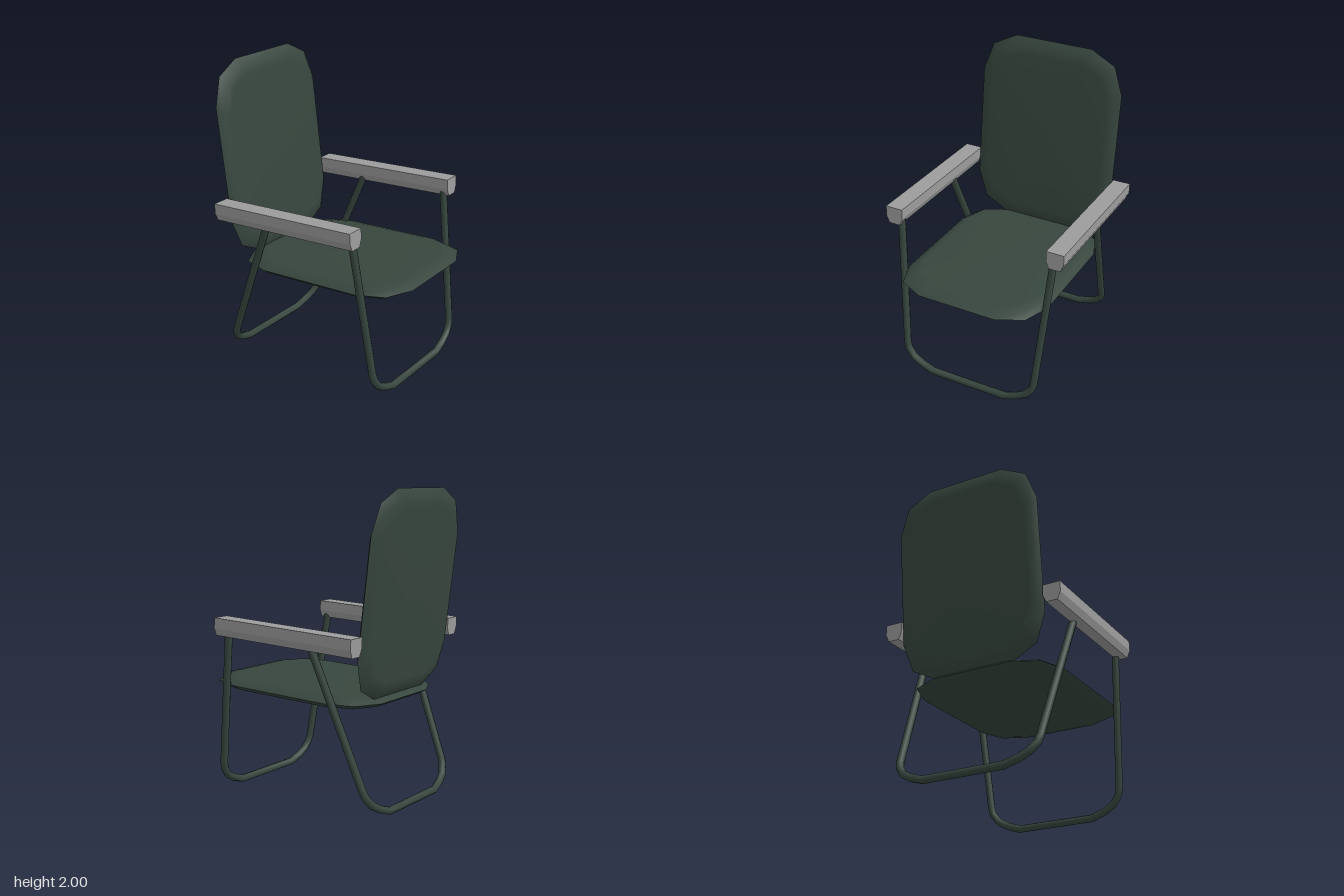
import * as THREE from 'three';

const fabric = new THREE.MeshStandardMaterial({ color: 0x37463e });
fabric.name = 'dark green';
const plastic = new THREE.MeshStandardMaterial({ color: 0x9c9c9c });
plastic.name = 'arm grey';

// Lens-shaped cushion in the XY plane: chamfered outline, domed on both sides, sharp rim
function cushionGeometry(halfLength) {
  const L = halfLength;
  const quarter = [[0.507, L - 0.27], [0.44, L - 0.085], [0.27, L]];
  const back = [...quarter].reverse();
  const outline = [
    ...quarter,
    ...back.map(([x, y]) => [-x, y]),
    ...quarter.map(([x, y]) => [-x, -y]),
    ...back.map(([x, y]) => [x, -y]),
  ];
  const n = outline.length;
  const rings = [[1, 0], [0.93, 0.028], [0.83, 0.043]]; // scale, height
  const positions = [], index = [];
  for (const side of [1, -1]) {
    const base = positions.length / 3;
    const tri = (a, b, c) => index.push(base + a, base + (side > 0 ? b : c), base + (side > 0 ? c : b));
    for (const [s, h] of rings) {
      for (const [x, y] of outline) positions.push(x * s, y * s, h * side);
    }
    const centre = rings.length * n;
    positions.push(0, 0, 0.047 * side);
    for (let i = 0; i < n; i++) {
      const j = (i + 1) % n;
      for (let r = 0; r < rings.length - 1; r++) {
        const a = r * n, b = a + n;
        tri(a + i, a + j, b + j);
        tri(a + i, b + j, b + i);
      }
      const a = (rings.length - 1) * n;
      tri(a + i, a + j, centre);
    }
  }
  const g = new THREE.BufferGeometry();
  g.setAttribute('position', new THREE.Float32BufferAttribute(positions, 3));
  g.setIndex(index);
  g.computeVertexNormals();
  return g;
}

// Straight-segment path with mitred corners, one tube ring per point
class BentPath extends THREE.Curve {
  constructor(points) {
    super();
    this.points = points;
  }
  getUtoTmapping(u) {
    return u;
  }
  getPoint(t, target = new THREE.Vector3()) {
    const f = t * (this.points.length - 1);
    const i = Math.min(Math.floor(f + 1e-6), this.points.length - 2);
    return target.lerpVectors(this.points[i], this.points[i + 1], f - i);
  }
  getTangent(t, target = new THREE.Vector3()) {
    const p = this.points, last = p.length - 1, i = Math.round(t * last);
    target.set(0, 0, 0);
    if (i > 0) target.add(p[i].clone().sub(p[i - 1]).normalize());
    if (i < last) target.add(p[i + 1].clone().sub(p[i]).normalize());
    return target.normalize();
  }
}

// U-shaped leg frame lying in a plane leaning from zTop to zFoot
function legFrame(name, yTop, zTop, zFoot) {
  const foot = 0.024;
  const half = [[0.54, yTop], [0.476, 0.19], [0.465, 0.145], [0.425, 0.092], [0.36, 0.055], [0.27, foot]];
  const all = [...half, ...[...half].reverse().map(([x, y]) => [-x, y])];
  const points = all.map(([x, y]) =>
    new THREE.Vector3(x, y, THREE.MathUtils.mapLinear(y, foot, yTop, zFoot, zTop)));
  const g = new THREE.TubeGeometry(new BentPath(points), points.length - 1, 0.025, 8, false);
  const mesh = new THREE.Mesh(g, fabric);
  mesh.name = name;
  return mesh;
}

// Armrest: bar with its lower edges chamfered
function armGeometry() {
  const length = 1.055;
  const section = new THREE.Shape([
    [-0.059, 0.058], [-0.059, -0.01], [-0.038, -0.058],
    [0.038, -0.058], [0.059, -0.01], [0.059, 0.058],
  ].map(([x, y]) => new THREE.Vector2(x, y)));
  const g = new THREE.ExtrudeGeometry(section, { depth: length, bevelEnabled: false });
  return g.translate(0, 0, -length / 2);
}

export function createModel() {
  const chair = new THREE.Group();
  chair.name = 'foldingChair';

  const seat = new THREE.Mesh(cushionGeometry(0.63), fabric);
  seat.name = 'seat';
  seat.position.set(0, 0.713, 0.07);
  seat.rotation.x = -Math.PI / 2 - 0.036;

  const backrest = new THREE.Mesh(cushionGeometry(0.65), fabric);
  backrest.name = 'backrest';
  backrest.position.set(0, 1.354, -0.588);
  backrest.rotation.x = -0.12;
  chair.add(seat, backrest);

  const arm = armGeometry();
  for (const [name, side] of [['leftArmrest', 1], ['rightArmrest', -1]]) {
    const mesh = new THREE.Mesh(arm, plastic);
    mesh.name = name;
    mesh.position.set(0.567 * side, 1.1, -0.0475);
    mesh.rotation.x = -0.043;
    chair.add(mesh);
  }

  chair.add(
    legFrame('frontLegs', 1.09, 0.432, 0.57),
    legFrame('rearLegs', 1.07, -0.21, -0.625),
  );
  return chair;
}
